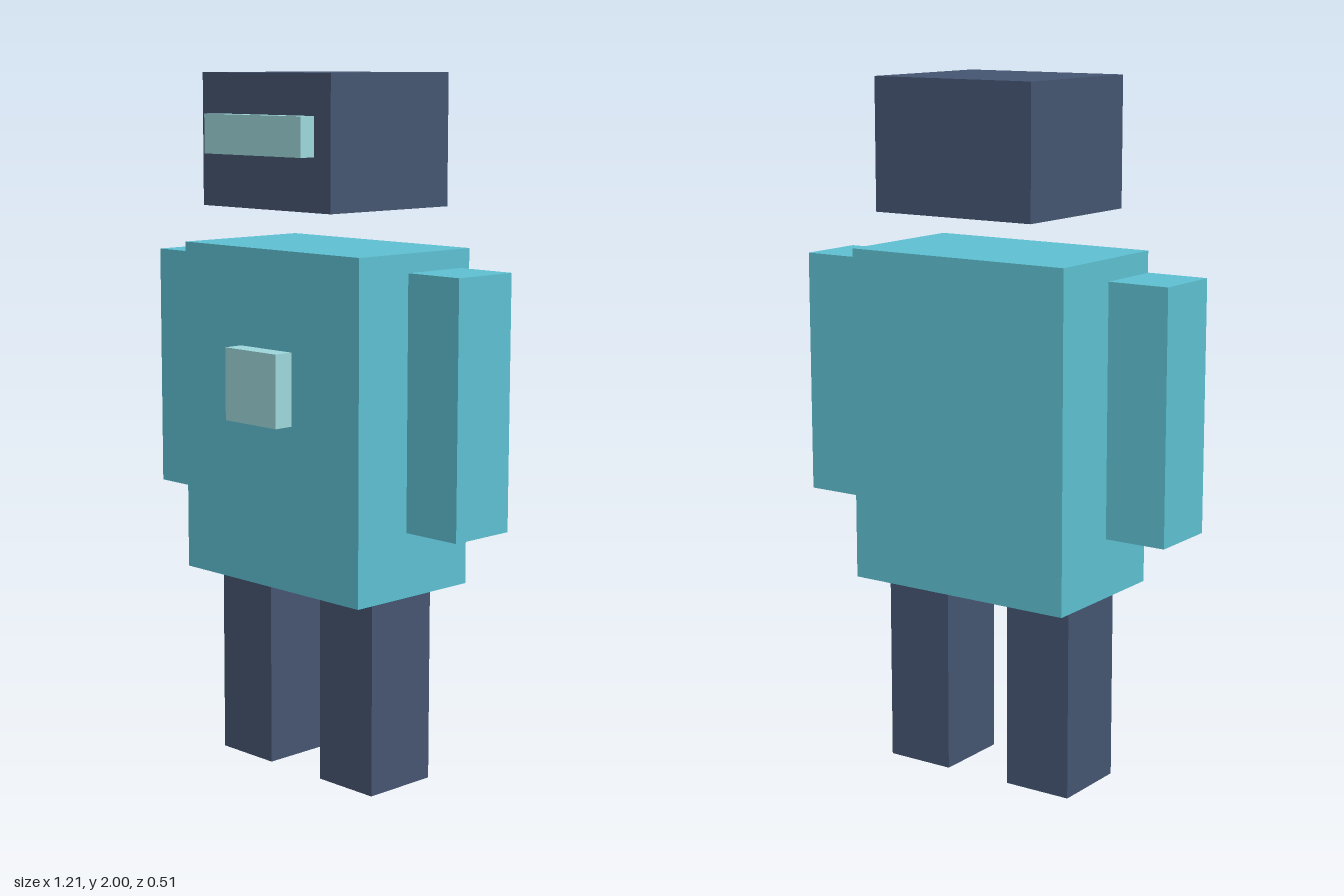
import * as THREE from 'three';

const material = (color) => new THREE.MeshStandardMaterial({ color });

export function createModel() {
  const model = new THREE.Group();
  model.name = 'blockRobot';
  const navy = material(0x455571);
  const teal = material(0x5ec0d1);
  const pale = material(0x9dd7db);

  // Box given by its extents along each axis
  function block(name, mat, [x0, x1], [y0, y1], [z0, z1]) {
    const mesh = new THREE.Mesh(new THREE.BoxGeometry(x1 - x0, y1 - y0, z1 - z0), mat);
    mesh.position.set((x0 + x1) / 2, (y0 + y1) / 2, (z0 + z1) / 2);
    mesh.name = name;
    model.add(mesh);
  }

  // Head and visor
  block('head', navy, [-0.257, 0.257], [1.63, 2], [-0.257, 0.198]);
  block('visor', pale, [-0.194, 0.194], [1.778, 1.887], [0.198, 0.248]);

  // Torso and the plate floating just in front of it
  block('torso', teal, [-0.353, 0.353], [0.565, 1.52], [-0.245, 0.186]);
  block('chestPlate', pale, [-0.103, 0.103], [1.039, 1.245], [0.198, 0.257]);

  // Mirrored limbs
  for (const [side, s] of [['left', 1], ['right', -1]]) {
    const span = (a, b) => (s > 0 ? [a, b] : [-b, -a]);
    block(side + 'Arm', teal, span(0.423, 0.605), [0.772, 1.477], [-0.134, 0.072]);
    block(side + 'Leg', navy, span(0.103, 0.31), [0, 0.565], [-0.144, 0.088]);
  }

  return model;
}
